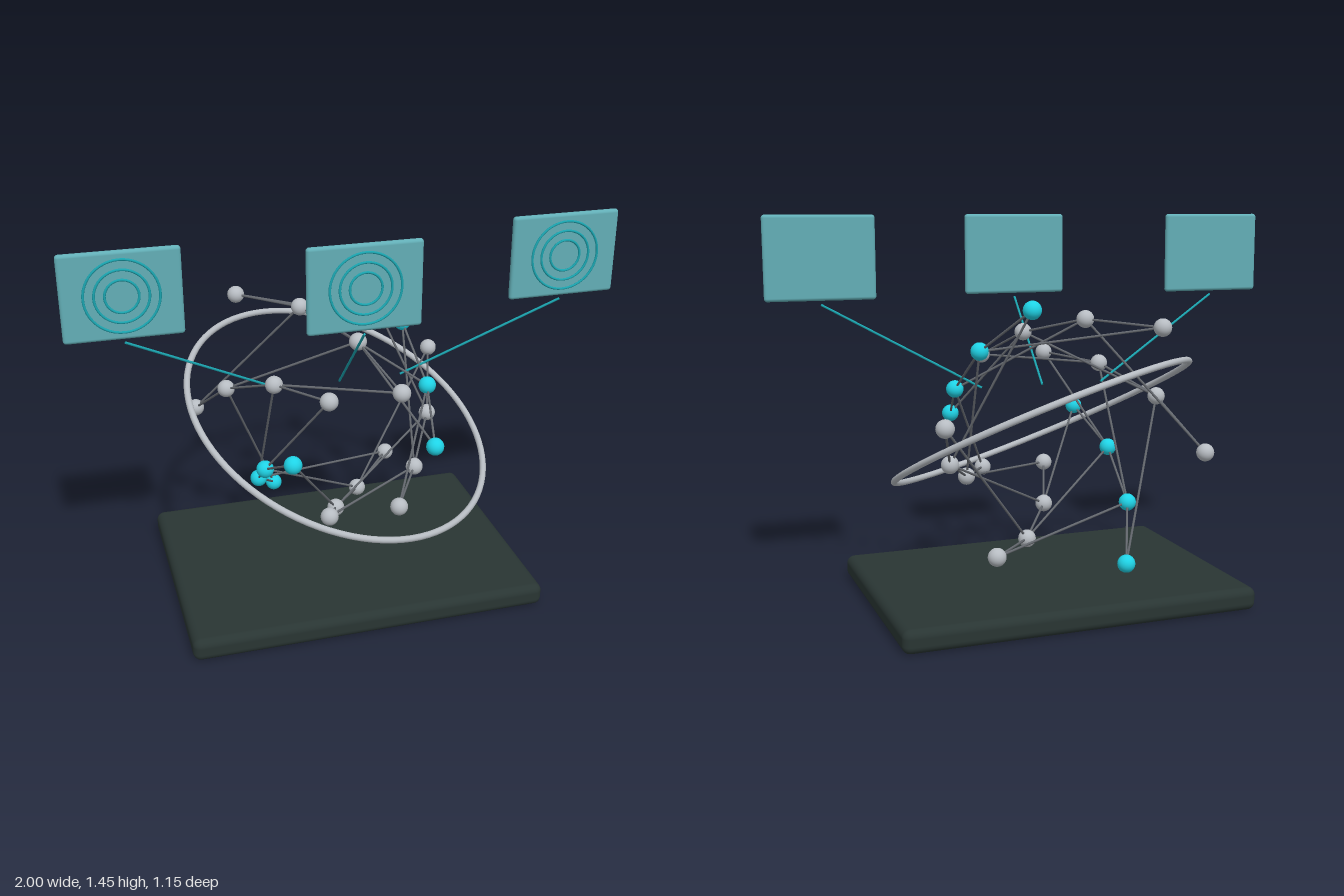
import * as THREE from 'three';
import { RoundedBoxGeometry } from 'three/addons/geometries/RoundedBoxGeometry.js';

const mat = (name, color) => {
  const m = new THREE.MeshStandardMaterial({ color });
  m.name = name;
  return m;
};

export function createModel() {
  const model = new THREE.Group();
  const charcoal = mat('charcoal', 0x293533);
  const silver = mat('silver', 0xb7bcc2);
  const cyan = mat('cyan', 0x1fd3e6);
  const graphite = mat('graphite', 0x64686e);
  const paleTeal = mat('paleTeal', 0x62aeb6);
  const deepTeal = mat('deepTeal', 0x1aa5b0);

  const add = (parent, name, geometry, material, x = 0, y = 0, z = 0) => {
    const mesh = new THREE.Mesh(geometry, material);
    mesh.name = name;
    mesh.position.set(x, y, z);
    parent.add(mesh);
    return mesh;
  };

  // Thin round bar between two points
  const up = new THREE.Vector3(0, 1, 0);
  const bar = (parent, name, a, b, radius, material) => {
    const d = b.clone().sub(a);
    const mesh = add(parent, name, new THREE.CylinderGeometry(radius, radius, d.length(), 8), material);
    mesh.position.copy(a).add(b).multiplyScalar(0.5);
    mesh.quaternion.setFromUnitVectors(up, d.normalize());
  };

  // Base slab
  add(model, 'base', new RoundedBoxGeometry(1.345, 0.087, 0.965, 4, 0.03), charcoal, 0, 0.0435, 0);

  // Twisted lattice: four widening layers of six nodes
  const lattice = new THREE.Group();
  lattice.name = 'lattice';
  model.add(lattice);
  const centreY = 0.67;
  const node = (k, i) => {
    const angle = (i * Math.PI) / 3 + 0.4 * k;
    const r = 0.265 + 0.0777 * k;
    return new THREE.Vector3(r * Math.cos(angle), centreY + r * Math.sin(angle), 0.338 - 0.2412 * k);
  };
  const ball = new THREE.SphereGeometry(0.033, 24, 16);
  for (let k = 0; k < 4; k++) {
    for (let i = 0; i < 6; i++) {
      const p = node(k, i);
      add(lattice, 'node', ball, i % 3 === 0 ? cyan : silver, p.x, p.y, p.z);
      if (k === 3) continue;
      bar(lattice, 'strut', p, node(k + 1, i), 0.0045, graphite);
      bar(lattice, 'crossStrut', p, node(k + 1, i + 1), 0.0045, graphite);
    }
  }

  // Tilted orbit ring
  const ring = add(model, 'orbitRing', new THREE.TorusGeometry(0.602, 0.012, 12, 96), silver, 0, centreY, 0);
  ring.quaternion.setFromUnitVectors(
    new THREE.Vector3(0, 0, 1),
    new THREE.Vector3(0.275, 0.895, 0.348).normalize()
  );

  // Floating panels with target rings and connecting beams
  const panelGeometry = new RoundedBoxGeometry(0.408, 0.31, 0.025, 4, 0.012);
  for (const side of [-1, 0, 1]) {
    const panel = new THREE.Group();
    panel.name = side < 0 ? 'rightPanel' : side > 0 ? 'leftPanel' : 'centrePanel';
    const x = side * 0.796;
    const z = side ? 0.169 : 0.315;
    model.add(panel);
    add(panel, 'plate', panelGeometry, paleTeal, x, 1.298, z);
    for (const r of [0.057, 0.092, 0.127]) {
      add(panel, 'targetRing', new THREE.TorusGeometry(r, 0.0045, 8, 48), deepTeal, x, 1.298, z + 0.0155);
    }
    bar(panel, 'beam', new THREE.Vector3(x, 1.128, z), new THREE.Vector3(side * 0.24, 0.818, 0), 0.0045, deepTeal);
  }

  return model;
}
